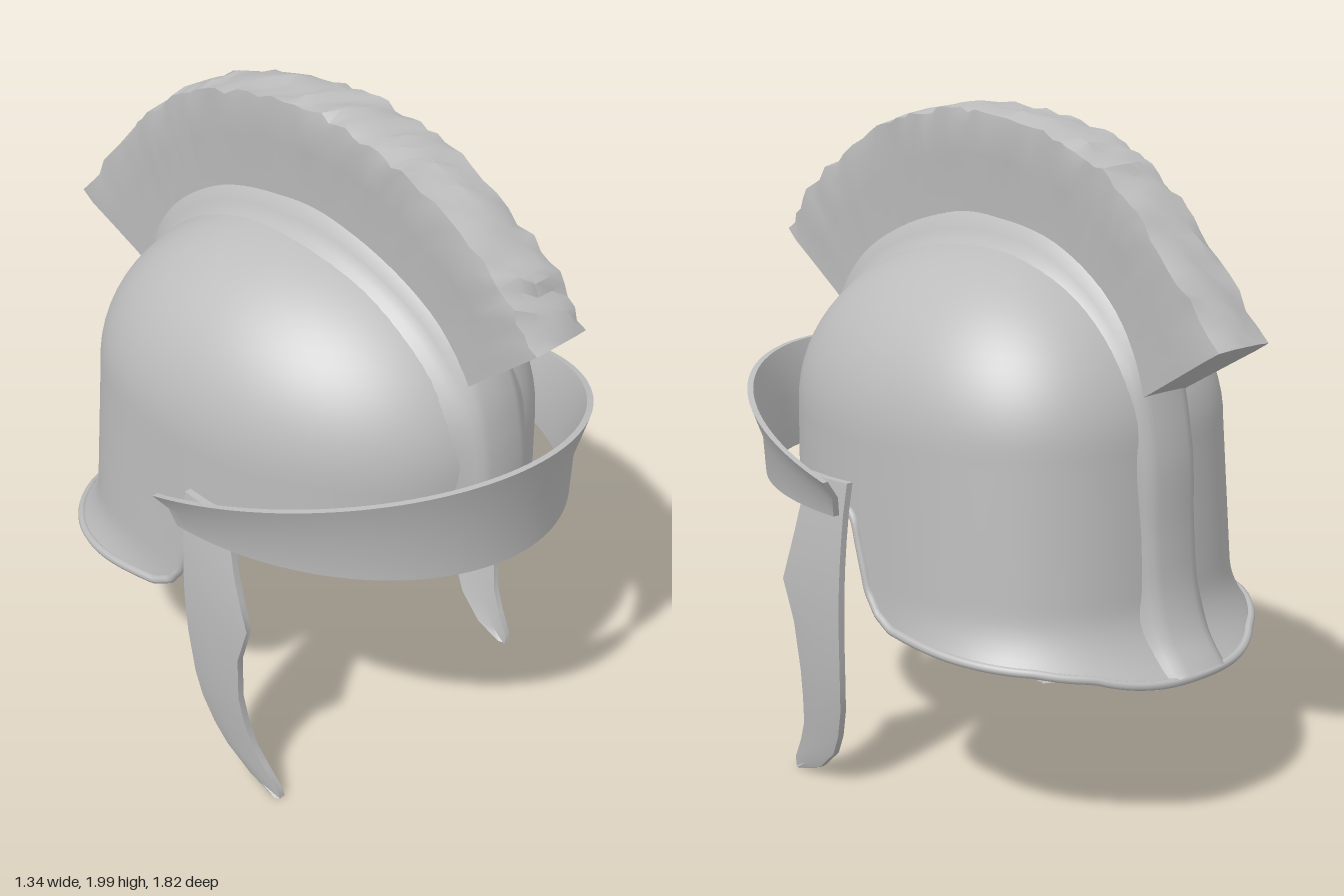
import * as THREE from 'three';
import { toCreasedNormals } from 'three/addons/utils/BufferGeometryUtils.js';

const { smoothstep, lerp } = THREE.MathUtils;

// Skin a list of cross-sections; closed joins each section into a loop, capped fills both ends
function loft(rows, closed = false, capped = false) {
  if (capped) {
    const centre = row => {
      const c = [0, 1, 2].map(k => row.reduce((sum, p) => sum + p[k], 0) / row.length);
      return row.map(() => c);
    };
    rows = [centre(rows[0]), ...rows, centre(rows[rows.length - 1])];
  }
  const n = rows[0].length, index = [];
  for (let i = 0; i < rows.length - 1; i++) {
    for (let j = 0; j < (closed ? n : n - 1); j++) {
      const k = (j + 1) % n, a = i * n + j, b = i * n + k, c = a + n, d = b + n;
      index.push(a, c, b, b, c, d);
    }
  }
  const geo = new THREE.BufferGeometry();
  geo.setAttribute('position', new THREE.Float32BufferAttribute(rows.flat(2), 3));
  geo.setIndex(index);
  return toCreasedNormals(geo, 0.7);
}

const steps = (n, fn) => Array.from({ length: n + 1 }, (_, i) => fn(i / n, i));

// Piecewise linear lookup in [key, value] pairs with falling keys
function lookup(table, key) {
  if (key >= table[0][0]) return table[0][1];
  for (let i = 1; i < table.length; i++) {
    const [k0, v0] = table[i - 1], [k1, v1] = table[i];
    if (key >= k1) return lerp(v0, v1, (k0 - key) / (k0 - k1));
  }
  return table[table.length - 1][1];
}

// Smooth curve in the middle plane, from [z, y] points
const sideCurve = pts => new THREE.CatmullRomCurve3(pts.map(([z, y]) => new THREE.Vector3(0, y, z)));

// Height of the bowl's lower edge along z
const RIM = [[0.07, 0.88], [0.045, 0.8], [0, 0.66], [-0.04, 0.605], [-0.1, 0.573],
  [-0.3, 0.555], [-0.5, 0.54], [-0.58, 0.52], [-0.63, 0.48]];
const WALL = 1.1, TOP = 1.62;

// Point on the bowl: domed for v below 0.5, then a wall flaring to the neck guard
function bowlPoint(angle, v) {
  const s = Math.sin(angle), c = Math.cos(angle), p = c > 0 ? 2 : 2.5;
  const depth = c > 0 ? 0.72 : 0.63;
  let r = (Math.abs(s / 0.54) ** p + Math.abs(c / depth) ** p) ** (-1 / p), y;
  if (v <= 0.5) {
    y = WALL + (TOP - WALL) * Math.cos(v * Math.PI);
    r *= Math.sin(v * Math.PI);
  } else {
    y = lerp(WALL, lookup(RIM, r * c), (v - 0.5) * 2);
    const back = 0.12 + 0.88 * smoothstep(-c, 0, 0.8);
    r += back * (0.07 * (WALL - y) + 0.1 * Math.max(0, (0.68 - y) / 0.2) ** 2);
  }
  return [r * s, y, r * c];
}

export function createModel() {
  const group = new THREE.Group();
  const grey = new THREE.MeshStandardMaterial({ color: 0xbcbcbc, side: THREE.DoubleSide });
  grey.name = 'plain grey';
  const add = (name, geo) => {
    const mesh = new THREE.Mesh(geo, grey);
    mesh.name = name;
    group.add(mesh);
    return mesh;
  };

  // Bowl with neck guard, and its rolled edge
  add('bowl', loft(steps(40, v => steps(160, u => bowlPoint(u * Math.PI * 2, v)))));
  const edge = new THREE.CatmullRomCurve3(
    steps(159, (_, i) => new THREE.Vector3(...bowlPoint(i / 160 * Math.PI * 2, 1))), true);
  add('rolledRim', new THREE.TubeGeometry(edge, 320, 0.013, 8, true));

  // Ridge running over the bowl from brow to neck, swelling below the crest
  const spine = sideCurve([[0.72, 0.89], [0.72, 1.1], [0.68, 1.28], [0.51, 1.47], [0.25, 1.59],
    [0, 1.62], [-0.25, 1.58], [-0.45, 1.46], [-0.58, 1.3], [-0.63, 1.1], [-0.645, 0.85],
    [-0.665, 0.68], [-0.705, 0.57], [-0.77, 0.483]]);
  const ridgeProfile = [[-0.15, -0.03, 0], [-0.12, -0.012, 0.1], [-0.1, 0, 0.35], [-0.083, 0.008, 0.85],
    [-0.06, 0.012, 1], [0, 0.015, 1], [0.06, 0.012, 1], [0.083, 0.008, 0.85], [0.1, 0, 0.35],
    [0.12, -0.012, 0.1], [0.15, -0.03, 0]];
  add('ridge', loft(steps(80, u => {
    const p = spine.getPoint(u), t = spine.getTangent(u);
    const swell = 0.012 + 0.055 * smoothstep(p.y, 1.2, 1.5);
    return ridgeProfile.map(([x, base, rise]) => {
      const out = base + rise * swell;
      return [x, p.y - t.z * out, p.z + t.y * out];
    });
  })));

  // Bristle crest: a fan between two arcs with a ragged outer edge
  let seed = 7;
  const jitter = amount => {
    seed = (seed * 16807) % 2147483647;
    return (seed / 2147483647 - 0.5) * 2 * amount;
  };
  const outer = sideCurve([[0.91, 1.56], [0.75, 1.735], [0.455, 1.91], [0.25, 1.97], [0.03, 1.99],
    [-0.285, 1.94], [-0.47, 1.86], [-0.655, 1.705], [-0.905, 1.425]]);
  const inner = sideCurve([[0.635, 1.335], [0.52, 1.49], [0.35, 1.61], [0.2, 1.67], [0.03, 1.69],
    [-0.24, 1.64], [-0.38, 1.56], [-0.5, 1.44], [-0.595, 1.24]]);
  const crestProfile = [[-0.083, 0], [-0.088, 0.25], [-0.096, 0.55], [-0.104, 0.82], [-0.1, 0.97],
    [-0.05, 1], [0, 1], [0.05, 1], [0.1, 0.97], [0.104, 0.82], [0.096, 0.55], [0.088, 0.25], [0.083, 0]];
  add('crest', loft(steps(56, (u, i) => {
    const a = inner.getPoint(u), b = outer.getPoint(u);
    const inside = i > 0 && i < 56 ? 1 : 0;
    return crestProfile.map(([x, h]) => {
      const rough = inside * h * h;
      const k = h + jitter(0.035) * rough;
      return [x + jitter(0.006) * rough, lerp(a.y, b.y, k), lerp(a.z, b.z, k)];
    });
  }), true, true));

  // Peak: a tilted band wrapped round the brow, rows of half width, depth and height share
  const bands = [[0.61, 0.77, 0], [0.625, 0.79, 0.5], [0.67, 0.85, 1],
    [0.652, 0.832, 1], [0.605, 0.77, 0.5], [0.59, 0.75, 0]];
  add('peak', loft(steps(64, u => {
    const a = (u - 0.5) * Math.PI, s = Math.sin(a), c = Math.cos(a);
    return bands.map(([w, d, h]) =>
      [w * s, 0.88 + h * lerp(0.115, 0.32, c), d * c + lerp(0.07, 0.04, h)]);
  }), true, true));

  // Cheek guards: curved plates, rows of height, front z, back z and outward x
  const cheekRows = [[0.97, 0.24, 0.06, 0.56], [0.88, 0.255, 0.065, 0.572], [0.8, 0.275, 0.067, 0.58],
    [0.72, 0.3, 0.07, 0.585], [0.635, 0.33, 0.073, 0.588], [0.51, 0.287, 0.08, 0.585],
    [0.36, 0.275, 0.093, 0.574], [0.27, 0.283, 0.108, 0.562], [0.18, 0.3, 0.14, 0.547],
    [0.11, 0.335, 0.18, 0.534], [0.04, 0.378, 0.262, 0.522], [0.008, 0.382, 0.355, 0.516]];
  const cheek = loft(cheekRows.map(([y, f, b, x]) => {
    const m = (f + b) / 2, t = 0.013;
    return [[x - t, y, f], [x + t * 0.6, y, f], [x + t * 1.3, y, m],
      [x + t * 0.6, y, b], [x - t, y, b], [x - t * 0.5, y, m]];
  }), true, true);
  add('leftCheekGuard', cheek);
  add('rightCheekGuard', cheek).scale.x = -1;

  return group;
}
